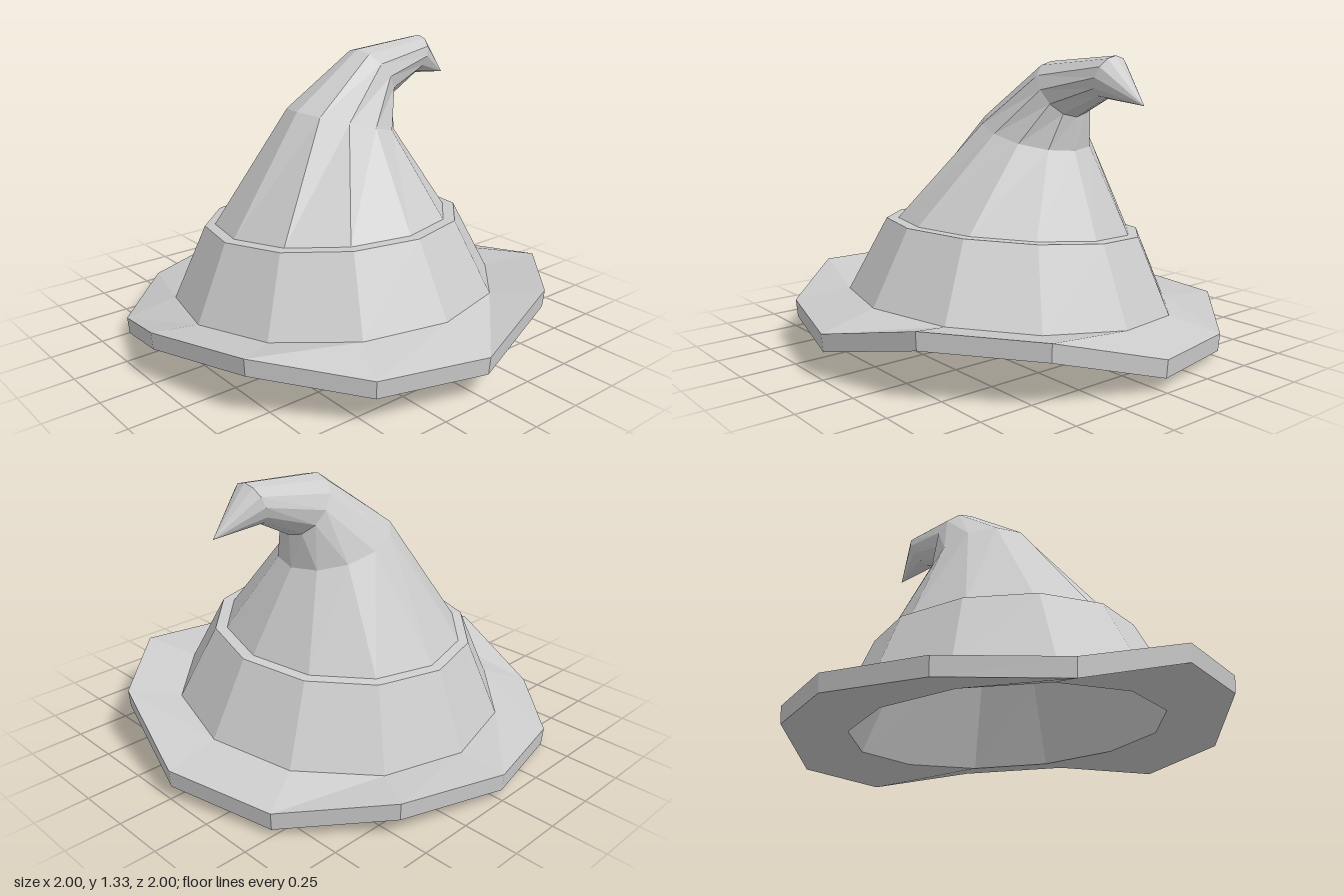
import * as THREE from 'three';

const SIDES = 12;

// Ring of 12 points. (dx, dy) is the offset of its +x end, rz its half depth,
// tilt the rise in y per unit of z.
function ring(cx, cy, cz, dx, dy, rz, tilt = 0) {
  return Array.from({ length: SIDES }, (_, k) => {
    const a = (k / SIDES) * Math.PI * 2;
    const s = Math.sin(a), c = Math.cos(a);
    const z = cz + c * rz;
    return new THREE.Vector3(cx + s * dx, cy + s * dy + z * tilt, z);
  });
}

// Rim ring with its own height at every corner
function wavyRing(radius, heights, drop) {
  return ring(0, 0, 0, radius, 0, radius).map((p, k) => p.setY(heights[k] - drop));
}

// Faceted skin through successive rings
function loft(name, material, rings) {
  const pos = [];
  const tri = (...pts) => pts.forEach((p) => pos.push(p.x, p.y, p.z));
  for (let i = 0; i < rings.length - 1; i++) {
    for (let k = 0; k < SIDES; k++) {
      const n = (k + 1) % SIDES;
      const a = rings[i][k], b = rings[i][n], c = rings[i + 1][n], d = rings[i + 1][k];
      if (a.distanceTo(b) > 1e-6) tri(a, b, c);
      if (c.distanceTo(d) > 1e-6) tri(a, c, d);
    }
  }
  const geo = new THREE.BufferGeometry();
  geo.setAttribute('position', new THREE.Float32BufferAttribute(pos, 3));
  geo.computeVertexNormals();
  const mesh = new THREE.Mesh(geo, material);
  mesh.name = name;
  return mesh;
}

export function createModel() {
  const hat = new THREE.Group();
  hat.name = 'pointedHat';
  const felt = new THREE.MeshStandardMaterial({ color: 0xcccccc, flatShading: true });
  felt.name = 'light grey felt';

  const TILT = 0.083;
  // Rim heights, from the front round past the left side
  const rim = [0.2, 0.31, 0.28, 0.14, 0.11, 0.16, 0.13, 0.09, 0.08, 0.24, 0.28, 0.21];

  const hole = ring(0, 0.12, -0.01, 0.71, 0, 0.7, TILT);
  const base = ring(0, 0.2, -0.01, 0.765, 0, 0.76, TILT);
  const bandTop = ring(0, 0.54, -0.03, 0.6, 0, 0.6, TILT);
  const ledge = ring(0, 0.543, -0.035, 0.55, 0, 0.55, TILT);

  // Brim: underside, edge and upper face
  hat.add(loft('brim', felt, [hole, wavyRing(0.993, rim, 0.08), wavyRing(1, rim, 0), base]));

  // Band with its narrow top ledge
  hat.add(loft('band', felt, [base, bandTop, ledge]));

  // Crown bending over to the left, ending in a drooping tip
  hat.add(loft('crown', felt, [
    ledge,
    ring(0.1, 0.98, -0.08, 0.26, -0.07, 0.25),
    ring(0.285, 1.18, -0.08, 0.085, -0.12, 0.14),
    ring(0.57, 1.24, -0.083, -0.03, -0.09, 0.095),
    ring(0.765, 1.13, -0.08, 0, 0, 0),
  ]));

  // Hollow inside
  hat.add(loft('lining', felt, [
    ring(0.52, 1.23, -0.08, 0, 0, 0),
    ring(0.28, 1.17, -0.08, 0.055, -0.08, 0.09),
    ring(0.1, 0.95, -0.08, 0.2, -0.055, 0.195),
    ring(0, 0.5, -0.03, 0.52, 0, 0.52, TILT),
    hole,
  ]));

  return hat;
}
